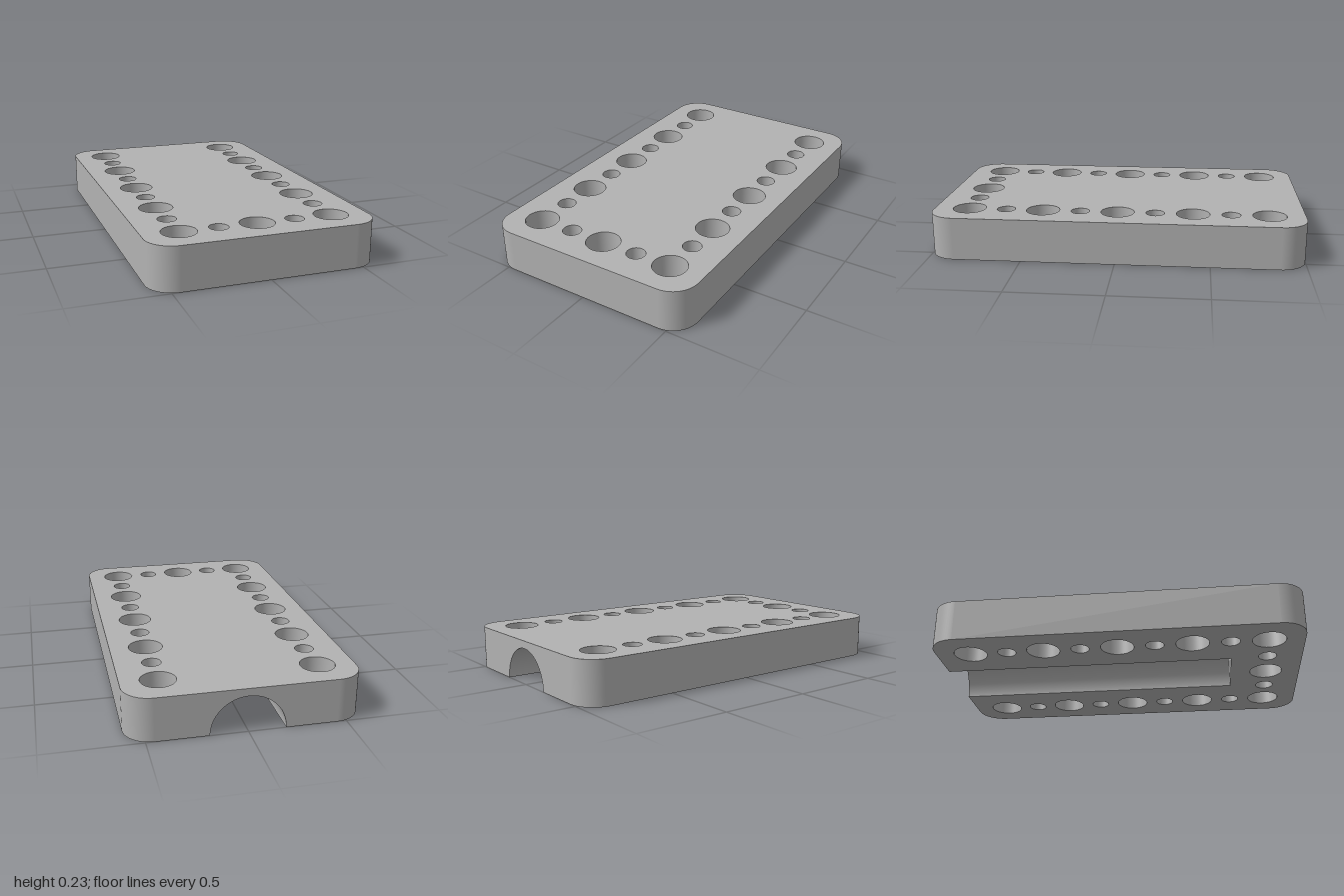
import * as THREE from 'three';

const W = 0.595, L = 1, H = 0.23, R = 0.14;      // half width, half length, height, corner radius
const GROOVE_R = 0.19, GROOVE_END = 0.61;        // underside channel
const PITCH = 0.2025, BIG = 0.09, SMALL = 0.05;  // hole layout

// Points along an arc in the x/z plane, with normals; side = -1 makes the wall face inward
function arc(cx, cz, r, from, to, steps, side = 1) {
  return Array.from({ length: steps + 1 }, (_, i) => {
    const a = from + (to - from) * i / steps, c = Math.cos(a), s = Math.sin(a);
    return { x: cx + r * c, z: cz + r * s, nx: side * c, nz: side * s };
  });
}

// Smooth upright wall that follows a line of points
function wall(points, y0, y1) {
  const pos = [], nor = [], index = [];
  points.forEach((p, i) => {
    pos.push(p.x, y0, p.z, p.x, y1, p.z);
    nor.push(p.nx, 0, p.nz, p.nx, 0, p.nz);
    if (i) {
      const b = 2 * i - 2;
      index.push(b, b + 1, b + 2, b + 1, b + 3, b + 2);
    }
  });
  const g = new THREE.BufferGeometry();
  g.setAttribute('position', new THREE.Float32BufferAttribute(pos, 3));
  g.setAttribute('normal', new THREE.Float32BufferAttribute(nor, 3));
  g.setIndex(index);
  return g;
}

export function createModel() {
  const group = new THREE.Group();
  const grey = new THREE.MeshStandardMaterial({ color: 0xb2b2b2 });
  grey.name = 'grey';
  const add = (name, geometry) => {
    const mesh = new THREE.Mesh(geometry, grey);
    mesh.name = name;
    group.add(mesh);
  };

  // Rounded outline, open along the back edge
  const q = Math.PI / 2;
  const outline = [[1, -1], [1, 1], [-1, 1], [-1, -1]].flatMap(([sx, sz], i) =>
    arc(sx * (W - R), sz * (L - R), R, (i - 1) * q, i * q, 16));

  // Alternating large and small holes: two long rows joined by a front row
  const holes = [];
  for (let i = -4; i <= 4; i++) {
    const r = i % 2 ? SMALL : BIG;
    for (const s of [-1, 1]) holes.push([s * 2 * PITCH, i * PITCH, r]);
  }
  for (let i = -1; i <= 1; i++) holes.push([i * PITCH, 4 * PITCH, i ? SMALL : BIG]);
  const rings = holes.map(([x, z, r]) => arc(x, z, r, 2 * Math.PI, 0, 48, -1));

  // Flat face with the holes cut out
  const cap = (points, flip) => {
    const to2 = list => list.map(p => new THREE.Vector2(p.x, flip * p.z));
    const shape = new THREE.Shape(to2(points));
    shape.holes = rings.map(ring => new THREE.Path(to2(ring.slice(0, -1))));
    return new THREE.ShapeGeometry(shape).rotateX(flip * q);
  };
  const notch = [[-1, -L], [-1, GROOVE_END], [1, GROOVE_END], [1, -L]]
    .map(([s, z]) => ({ x: s * GROOVE_R, z }));
  add('topFace', cap(outline, -1).translate(0, H, 0));
  add('bottomFace', cap([...outline, ...notch], 1));

  // Outer wall and hole walls
  add('outerWall', wall(outline, 0, H));
  rings.forEach((ring, i) => add(holes[i][2] === BIG ? 'largeHole' : 'smallHole', wall(ring, 0, H)));

  // Back face with the arched mouth of the channel
  const back = new THREE.Shape();
  back.moveTo(GROOVE_R, 0);
  back.lineTo(W - R, 0);
  back.lineTo(W - R, H);
  back.lineTo(R - W, H);
  back.lineTo(R - W, 0);
  back.lineTo(-GROOVE_R, 0);
  back.absarc(0, 0, GROOVE_R, Math.PI, 0, true);
  add('backFace', new THREE.ShapeGeometry(back, 48).rotateY(Math.PI).translate(0, 0, -L));

  // Half-round channel under the plate, closed at its front end
  add('channel', wall(arc(0, 0, GROOVE_R, 0, -Math.PI, 48, -1), -L, GROOVE_END).rotateX(q));
  add('channelEnd', new THREE.CircleGeometry(GROOVE_R, 48, 0, Math.PI)
    .rotateY(Math.PI).translate(0, 0, GROOVE_END));

  return group;
}
